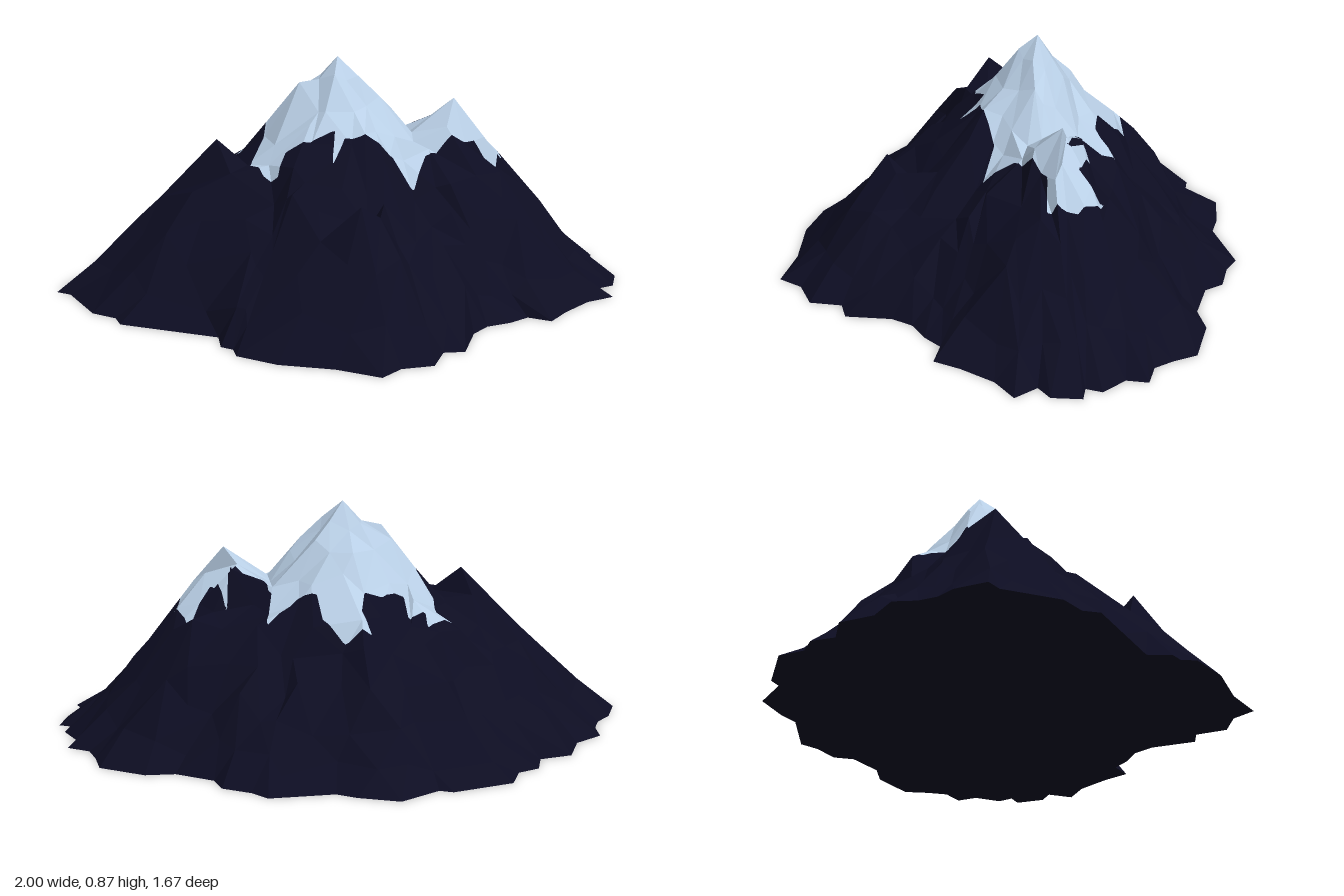
import * as THREE from 'three';

// Foot of the mountain, as x, z pairs going back, right, front, left
const FOOT = pairs([-0.01, -0.84, 0.06, -0.81, 0.17, -0.8, 0.22, -0.74, 0.37, -0.72, 0.47, -0.76, 0.65, -0.74,
  0.7, -0.66, 0.75, -0.6, 0.84, -0.59, 0.84, -0.51, 0.92, -0.44, 0.91, -0.38, 0.97, -0.38, 0.98, -0.27, 0.93, -0.22,
  1, -0.15, 0.92, -0.07, 0.86, 0.06, 0.83, 0.16, 0.74, 0.15, 0.69, 0.22, 0.62, 0.28, 0.59, 0.36, 0.6, 0.53,
  0.53, 0.56, 0.53, 0.68, 0.43, 0.74, 0.39, 0.83, 0.22, 0.81, 0.02, 0.83, -0.14, 0.8, -0.17, 0.75, -0.22, 0.74,
  -0.26, 0.66, -0.64, 0.65, -0.68, 0.6, -0.78, 0.58, -0.94, 0.43, -1, 0.42, -1, 0.3, -0.97, 0.23, -0.97, 0.16,
  -1, 0.08, -0.93, -0.02, -0.93, -0.15, -0.83, -0.22, -0.84, -0.31, -0.78, -0.37, -0.78, -0.47, -0.6, -0.61,
  -0.55, -0.61, -0.45, -0.74, -0.3, -0.75, -0.22, -0.74]);

// Jagged edge of the snow cap, as x, z pairs
const SNOW = pairs([-0.47, -0.09, -0.4, -0.18, -0.38, -0.14, -0.33, -0.19, -0.3, -0.14, -0.24, -0.22, -0.18, -0.24,
  -0.19, -0.31, -0.24, -0.35, -0.15, -0.39, -0.06, -0.36, -0.02, -0.3, 0.05, -0.3, 0.14, -0.39, 0.16, -0.27,
  0.2, -0.24, 0.27, -0.27, 0.33, -0.23, 0.31, -0.33, 0.39, -0.28, 0.44, -0.38, 0.53, -0.3, 0.53, -0.19,
  0.45, -0.18, 0.36, -0.1, 0.3, -0.04, 0.29, 0.08, 0.2, 0.05, 0.1, 0.11, 0.04, 0.13, 0.02, 0.22, 0, 0.12,
  -0.08, 0.17, -0.17, 0.18, -0.18, 0.24, -0.24, 0.23, -0.31, 0.18, -0.3, 0.06, -0.31, 0, -0.38, -0.01, -0.41, -0.09]);

// Summits: position, height, greatest reach of the slope
const PEAKS = [
  { x: -0.05, z: -0.07, h: 0.865, reach: 0.9 },
  { x: -0.18, z: -0.01, h: 0.77, reach: 0.62 },
  { x: 0.36, z: -0.22, h: 0.7, reach: 0.75 },
  { x: -0.44, z: 0.18, h: 0.58, reach: 0.75 },
  { x: 0.2, z: 0.45, h: 0.46, reach: 0.5 },
];
const SLOPE = [[0, 1], [0.13, 0.86], [0.27, 0.69], [0.45, 0.51], [0.69, 0.26], [0.87, 0.07], [1, 0]];

function pairs(list) {
  const out = [];
  for (let i = 0; i < list.length; i += 2) out.push({ x: list[i], z: list[i + 1] });
  return out;
}

function makeRandom(seed) {
  return () => {
    seed = (seed * 16807) % 2147483647;
    return seed / 2147483647;
  };
}

// Distance from a point to the foot along a direction
function footDistance(p, dx, dz) {
  let best = 0;
  FOOT.forEach((a, i) => {
    const b = FOOT[(i + 1) % FOOT.length];
    const ex = b.x - a.x, ez = b.z - a.z;
    const det = dx * ez - dz * ex;
    if (Math.abs(det) < 1e-9) return;
    const ax = a.x - p.x, az = a.z - p.z;
    const t = (ax * ez - az * ex) / det;
    const s = (ax * dz - az * dx) / det;
    if (s >= -1e-6 && s <= 1 + 1e-6) best = Math.max(best, t);
  });
  return best;
}

function slopeAt(t) {
  for (let i = 1; i < SLOPE.length; i++) {
    const [t0, v0] = SLOPE[i - 1], [t1, v1] = SLOPE[i];
    if (t <= t1) return v0 + ((v1 - v0) * (t - t0)) / (t1 - t0);
  }
  return 0;
}

// Ground height: the tallest of the ridged cones around each summit
function heightAt(x, z) {
  let y = 0;
  PEAKS.forEach((p, i) => {
    const d = Math.hypot(x - p.x, z - p.z);
    if (d < 1e-6) { y = Math.max(y, p.h); return; }
    const reach = Math.min(p.reach, footDistance(p, (x - p.x) / d, (z - p.z) / d));
    const a = Math.atan2(z - p.z, x - p.x);
    const t = Math.min(1, d / reach);
    const gully = 0.07 * Math.sin(7 * a + i) + 0.05 * Math.sin(13 * a + 2 * i);
    y = Math.max(y, p.h * slopeAt(t * (1 + gully * (1 - t))));
  });
  return y;
}

// Rings of vertices from the summit to the foot, zipped into triangles
function terrainTriangles() {
  const random = makeRandom(71);
  const c = PEAKS[0], n = FOOT.length;
  const counts = [1, 8, 13, 19, 25, 31, 37, 43, 48, n];
  const steps = [0, 0.08, 0.17, 0.27, 0.38, 0.5, 0.62, 0.74, 0.87, 1];
  const rings = counts.map((count, k) => Array.from({ length: count }, (_, j) => {
    const edge = k === counts.length - 1;
    const u = edge ? j : ((j + (random() - 0.5) * 0.6 + (k % 2) * 0.5 + 1) * n / count) % n;
    const s = edge || !k ? steps[k] : steps[k] + (random() - 0.5) * 0.06 * Math.min(1, k / 3);
    const a = FOOT[Math.floor(u)], b = FOOT[(Math.floor(u) + 1) % n], f = u % 1;
    return { u, x: c.x + s * (a.x + (b.x - a.x) * f - c.x), z: c.z + s * (a.z + (b.z - a.z) * f - c.z) };
  }).sort((a, b) => a.u - b.u));

  // Put the nearest vertex on each summit
  const inner = rings.slice(0, -1).flat();
  PEAKS.forEach((p) => {
    const near = inner.reduce((m, v) => (Math.hypot(v.x - p.x, v.z - p.z) < Math.hypot(m.x - p.x, m.z - p.z) ? v : m));
    Object.assign(near, { x: p.x, z: p.z, summit: true });
  });
  inner.forEach((v) => {
    const y = heightAt(v.x, v.z);
    v.y = v.summit ? y : Math.max(0.004, y + (random() - 0.5) * 0.05 * Math.min(1, y * 3));
  });
  rings.at(-1).forEach((v) => { v.y = 0; });

  const tris = [];
  for (let k = 1; k < rings.length; k++) {
    const A = rings[k - 1], B = rings[k];
    const single = A.length === 1;
    const at = (R, i) => R[i % R.length].u + (i >= R.length ? n : 0);
    let i = 0, j = 0;
    while (j < B.length || (!single && i < A.length)) {
      const a = A[i % A.length], b = B[j % B.length];
      const outer = single || i >= A.length || (j < B.length && at(B, j + 1) <= at(A, i + 1));
      if (outer) tris.push([a, B[++j % B.length], b]);
      else tris.push([a, A[++i % A.length], b]);
    }
  }
  return tris;
}

// Signed distance to the snow edge, positive inside
function snowDepth(p) {
  let d = Infinity, inside = false;
  SNOW.forEach((a, i) => {
    const b = SNOW[(i + 1) % SNOW.length];
    const ex = b.x - a.x, ez = b.z - a.z;
    const t = THREE.MathUtils.clamp(((p.x - a.x) * ex + (p.z - a.z) * ez) / (ex * ex + ez * ez), 0, 1);
    d = Math.min(d, Math.hypot(p.x - a.x - t * ex, p.z - a.z - t * ez));
    if ((a.z > p.z) !== (b.z > p.z) && p.x < a.x + (ex * (p.z - a.z)) / ez) inside = !inside;
  });
  return inside ? d : -d;
}

const mix = (a, b, t) => ({ x: a.x + (b.x - a.x) * t, y: a.y + (b.y - a.y) * t, z: a.z + (b.z - a.z) * t });

// Cut a triangle along the snow edge, splitting it finely only where the edge may cross
function splitTriangle(tri, level, rock, snow) {
  const g = tri.map(snowDepth);
  const size = Math.max(...tri.map((p, i) => Math.hypot(p.x - tri[(i + 1) % 3].x, p.z - tri[(i + 1) % 3].z)));
  if (g.every((v) => v > size)) { snow.push(tri); return; }
  if (g.every((v) => v < -size)) { rock.push(tri); return; }
  if (level > 0) {
    const [a, b, c] = tri;
    const ab = mix(a, b, 0.5), bc = mix(b, c, 0.5), ca = mix(c, a, 0.5);
    [[a, ab, ca], [ab, b, bc], [ca, bc, c], [ab, bc, ca]].forEach((t) => splitTriangle(t, level - 1, rock, snow));
    return;
  }
  [[1, snow], [-1, rock]].forEach(([sign, out]) => {
    const poly = [];
    tri.forEach((p, i) => {
      const j = (i + 1) % 3, q = tri[j];
      if (g[i] * sign >= 0) poly.push(p);
      if (g[i] * g[j] < 0) poly.push(mix(p, q, g[i] / (g[i] - g[j])));
    });
    for (let i = 2; i < poly.length; i++) out.push([poly[0], poly[i - 1], poly[i]]);
  });
}

function faceted(tris) {
  const geo = new THREE.BufferGeometry();
  geo.setAttribute('position', new THREE.Float32BufferAttribute(tris.flat().flatMap((p) => [p.x, p.y, p.z]), 3));
  geo.computeVertexNormals();
  return geo;
}

export function createModel() {
  const group = new THREE.Group();
  const rockMat = new THREE.MeshStandardMaterial({ name: 'darkRock', color: 0x0d0d22, flatShading: true });
  const snowMat = new THREE.MeshStandardMaterial({ name: 'paleSnow', color: 0xb9cfe6, flatShading: true });
  const add = (name, geo, mat) => {
    const mesh = new THREE.Mesh(geo, mat);
    mesh.name = name;
    group.add(mesh);
  };

  const rock = [], snow = [];
  terrainTriangles().forEach((tri) => splitTriangle(tri, 4, rock, snow));
  add('rockSlopes', faceted(rock), rockMat);
  add('snowCap', faceted(snow), snowMat);

  // Flat underside
  const foot = new THREE.Shape(FOOT.map((p) => new THREE.Vector2(p.x, p.z)));
  add('underside', new THREE.ShapeGeometry(foot).rotateX(Math.PI / 2), rockMat);
  return group;
}
